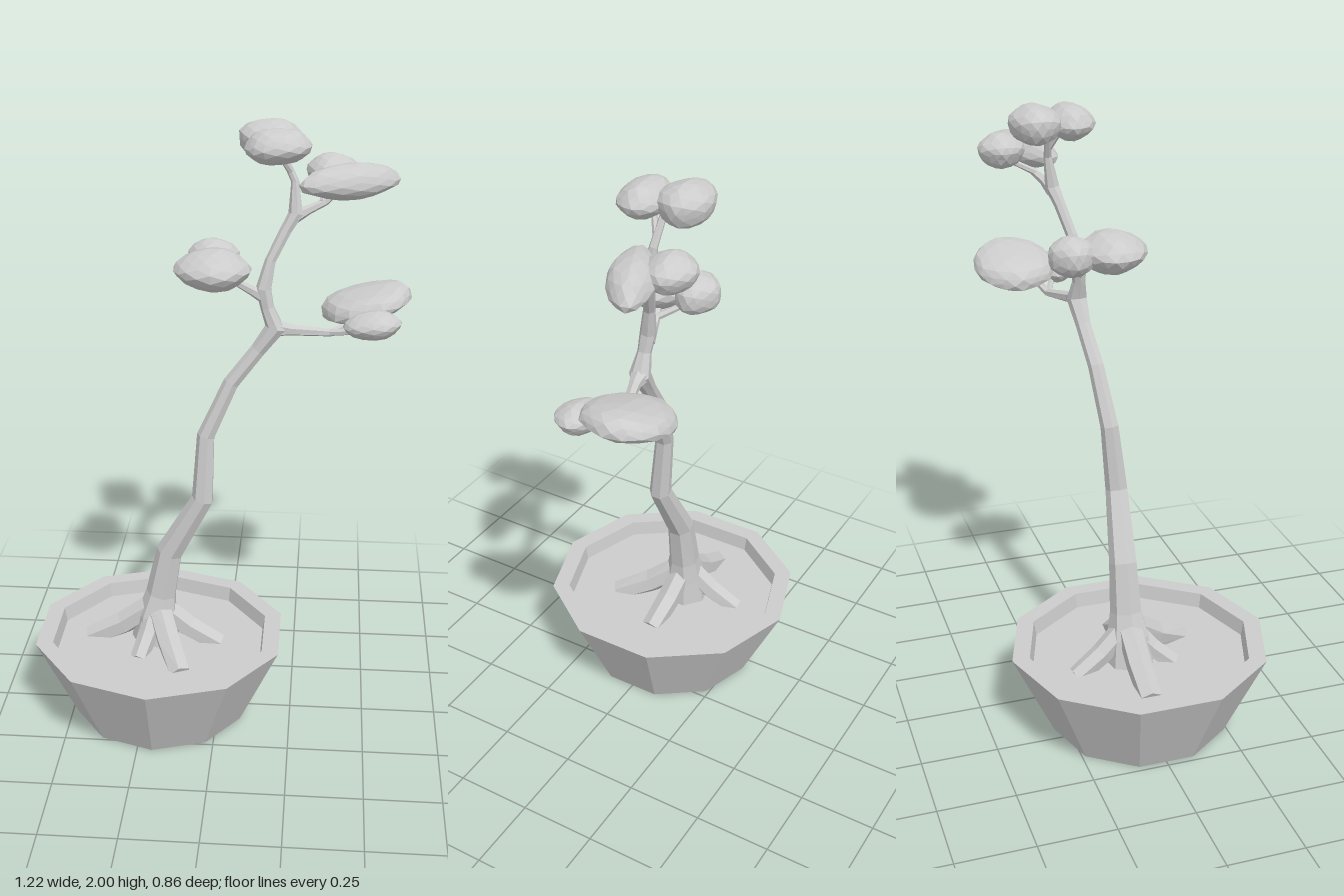
import * as THREE from 'three';

const material = new THREE.MeshStandardMaterial({ color: 0xcccccc, flatShading: true });

function add(group, name, geometry) {
  const mesh = new THREE.Mesh(geometry, material);
  mesh.name = name;
  group.add(mesh);
  return mesh;
}

// Tapered faceted limb through points [x, y, z, radius], capped at both ends
function limb(points, sides = 6) {
  const centres = points.map(p => new THREE.Vector3(p[0], p[1], p[2]));
  const pos = [], index = [], zAxis = new THREE.Vector3(0, 0, 1);
  const n = points.length;
  centres.forEach((c, i) => {
    const t = centres[Math.min(i + 1, n - 1)].clone().sub(centres[Math.max(i - 1, 0)]).normalize();
    const u = zAxis.clone().cross(t).normalize();
    const v = t.clone().cross(u);
    for (let j = 0; j < sides; j++) {
      const a = (j / sides) * Math.PI * 2, r = points[i][3];
      const p = c.clone().addScaledVector(u, r * Math.cos(a)).addScaledVector(v, r * Math.sin(a));
      pos.push(p.x, p.y, p.z);
    }
  });
  const first = n * sides, last = first + 1;
  pos.push(...centres[0].toArray(), ...centres[n - 1].toArray());
  for (let j = 0; j < sides; j++) {
    const k = (j + 1) % sides;
    for (let i = 0; i < n - 1; i++) {
      const a = i * sides + j, b = i * sides + k;
      index.push(a, b, a + sides, b, b + sides, a + sides);
    }
    index.push(first, k, j, last, (n - 1) * sides + j, (n - 1) * sides + k);
  }
  const g = new THREE.BufferGeometry();
  g.setAttribute('position', new THREE.Float32BufferAttribute(pos, 3));
  g.setIndex(index);
  const flat = g.toNonIndexed();
  flat.computeVertexNormals();
  return flat;
}

// Lumpy unit ball; the wobble depends only on direction so shared corners stay joined
function lumpyBall(seed) {
  const g = new THREE.IcosahedronGeometry(1, 2);
  const p = g.attributes.position, v = new THREE.Vector3();
  for (let i = 0; i < p.count; i++) {
    v.fromBufferAttribute(p, i);
    const w = Math.sin(v.x * 5.1 + seed) + Math.sin(v.y * 6.3 + seed * 2.1) + Math.sin(v.z * 5.7 + seed * 3.7);
    v.multiplyScalar(1 + 0.03 * w);
    p.setXYZ(i, v.x, v.y, v.z);
  }
  g.computeVertexNormals();
  return g;
}

export function createModel() {
  const tree = new THREE.Group();
  tree.name = 'pottedTree';

  // Ten-sided pot with a raised rim, and the soil inside
  const profile = [[0, 0], [0.295, 0], [0.43, 0.29], [0.372, 0.29], [0.362, 0.23]];
  const pot = add(tree, 'pot', new THREE.LatheGeometry(profile.map(p => new THREE.Vector2(...p)), 10));
  pot.position.x = -0.2;
  const soil = add(tree, 'soil', new THREE.CylinderGeometry(0.364, 0.36, 0.04, 10));
  soil.position.set(-0.2, 0.22, 0);

  // Trunk, leaning and bending up to the crown
  add(tree, 'trunk', limb([
    [-0.22, 0.23, -0.04, 0.085], [-0.215, 0.33, -0.042, 0.07], [-0.2, 0.41, -0.045, 0.053],
    [-0.17, 0.57, -0.045, 0.046], [-0.055, 0.78, -0.03, 0.037], [-0.045, 1.0, -0.05, 0.03],
    [0.035, 1.18, -0.07, 0.026], [0.12, 1.29, -0.085, 0.025], [0.175, 1.365, -0.09, 0.034],
    [0.148, 1.43, -0.09, 0.022], [0.135, 1.49, -0.095, 0.026], [0.155, 1.58, -0.11, 0.018],
    [0.2, 1.67, -0.135, 0.019], [0.23, 1.72, -0.15, 0.024], [0.225, 1.82, -0.165, 0.013],
    [0.17, 1.93, -0.175, 0.01],
  ], 7));

  // Roots spreading over the soil: [tip x, tip z, radius]
  for (const [x, z, r] of [
    [-0.45, -0.045, 0.042], [-0.25, -0.23, 0.036], [0.0, -0.03, 0.04], [-0.115, 0.175, 0.042], [-0.265, 0.095, 0.034],
  ]) {
    const mx = -0.215 + (x + 0.215) * 0.5, mz = -0.045 + (z + 0.045) * 0.5;
    add(tree, 'root', limb([[-0.215, 0.37, -0.045, r], [mx, 0.285, mz, r], [x, 0.225, z, r * 0.9]]));
  }

  // Side branches, thicker where they leave the trunk
  add(tree, 'lowerBranch', limb([
    [0.165, 1.365, -0.09, 0.032], [0.22, 1.355, -0.1, 0.019], [0.35, 1.335, -0.14, 0.013], [0.47, 1.38, -0.18, 0.01]]));
  add(tree, 'lowerTwig', limb([[0.34, 1.335, -0.14, 0.012], [0.42, 1.35, -0.11, 0.01], [0.48, 1.38, -0.09, 0.008]]));
  add(tree, 'middleBranch', limb([
    [0.14, 1.465, -0.095, 0.025], [0.1, 1.485, -0.09, 0.016], [0.06, 1.51, -0.08, 0.013], [-0.01, 1.56, -0.05, 0.01]]));
  add(tree, 'middleTwig', limb([[0.07, 1.505, -0.08, 0.012], [0.02, 1.53, -0.13, 0.01], [-0.02, 1.56, -0.17, 0.008]]));
  add(tree, 'upperBranch', limb([
    [0.225, 1.71, -0.15, 0.023], [0.27, 1.73, -0.165, 0.015], [0.32, 1.75, -0.185, 0.012], [0.39, 1.81, -0.205, 0.009]]));
  add(tree, 'upperTwig', limb([[0.31, 1.75, -0.18, 0.011], [0.33, 1.78, -0.24, 0.009], [0.34, 1.82, -0.29, 0.008]]));
  add(tree, 'topTwig', limb([[0.21, 1.85, -0.165, 0.011], [0.18, 1.9, -0.14, 0.009], [0.17, 1.94, -0.115, 0.008]]));

  // Leaf clumps in pairs: centre, radii, turn about y, tilt about z
  const clumps = [
    [-0.02, 1.567, -0.035, 0.118, 0.064, 0.108, 0, 0],
    [-0.03, 1.567, -0.165, 0.083, 0.064, 0.073, 0, 0],
    [0.17, 1.935, -0.11, 0.102, 0.054, 0.074, 0, 0.05],
    [0.145, 1.937, -0.225, 0.098, 0.063, 0.08, 0, 0],
    [0.4, 1.81, -0.205, 0.168, 0.056, 0.068, 0.42, 0],
    [0.34, 1.825, -0.288, 0.084, 0.056, 0.073, 0, 0],
    [0.46, 1.412, -0.23, 0.15, 0.052, 0.135, 0, 0.25],
    [0.483, 1.383, -0.08, 0.09, 0.045, 0.065, 0, 0.1],
  ];
  clumps.forEach(([x, y, z, rx, ry, rz, turn, tilt], i) => {
    const clump = add(tree, 'leafClump', lumpyBall(i * 1.7 + 0.6));
    clump.position.set(x, y, z);
    clump.scale.set(rx, ry, rz);
    clump.rotation.set(0, turn, tilt);
  });

  return tree;
}
